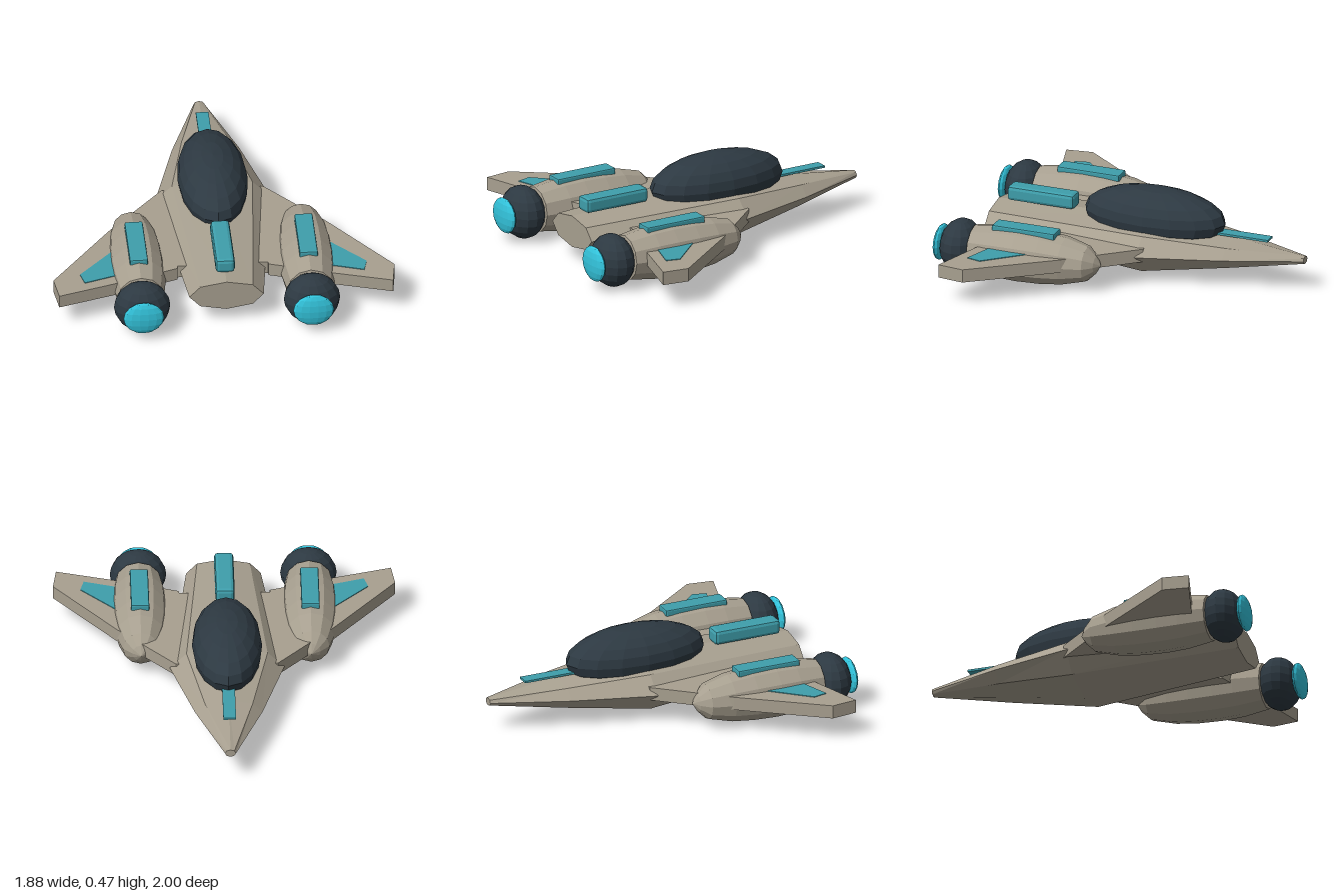
import * as THREE from 'three';
import { RoundedBoxGeometry } from 'three/addons/geometries/RoundedBoxGeometry.js';

const paint = (color) => new THREE.MeshStandardMaterial({ color, flatShading: true });

// Octagonal hull lofted through rings of [z, half width, centre y, height up, height down]
function hullGeometry(stations, sides = 8) {
  const pos = [], index = [];
  for (const [z, w, cy, up, down] of stations) {
    for (let j = 0; j < sides; j++) {
      const a = (j / sides) * Math.PI * 2, s = Math.sin(a);
      pos.push(w * Math.cos(a), cy + s * (s > 0 ? up : down), z);
    }
  }
  const last = stations.length - 1;
  for (let i = 0; i < last; i++) {
    for (let j = 0; j < sides; j++) {
      const k = (j + 1) % sides, a = i * sides, b = a + sides;
      index.push(a + j, a + k, b + j, a + k, b + k, b + j);
    }
  }
  // end caps
  for (let j = 1; j < sides - 1; j++) {
    const r = last * sides;
    index.push(0, j + 1, j, r, r + j, r + j + 1);
  }
  const g = new THREE.BufferGeometry();
  g.setAttribute('position', new THREE.Float32BufferAttribute(pos, 3));
  g.setIndex(index);
  const flat = g.toNonIndexed();
  flat.computeVertexNormals();
  return flat;
}

// Horizontal plate from an [x, z] outline, mirrored by side
function plateGeometry(outline, side, top, thickness) {
  const shape = new THREE.Shape(outline.map(([x, z]) => new THREE.Vector2(side * x, z)));
  const g = new THREE.ExtrudeGeometry(shape, { depth: thickness, bevelEnabled: false });
  return g.rotateX(Math.PI / 2).translate(0, top, 0);
}

export function createModel() {
  const model = new THREE.Group();
  const hullMat = paint(0xa8a090), darkMat = paint(0x2d3942);
  const trimMat = paint(0x3f9fac), glowMat = paint(0x33c4dc);

  const add = (name, geometry, material, x = 0, y = 0, z = 0) => {
    const mesh = new THREE.Mesh(geometry, material);
    mesh.name = name;
    mesh.position.set(x, y, z);
    model.add(mesh);
    return mesh;
  };
  const ellipsoid = (rx, ry, rz, w = 14, h = 10) =>
    new THREE.SphereGeometry(1, w, h).scale(rx, ry, rz);

  // Fuselage, nose towards -z
  add('fuselage', hullGeometry([
    [-1, 0.03, 0.178, 0.022, 0.022],
    [-0.58, 0.185, 0.175, 0.078, 0.085],
    [-0.12, 0.315, 0.172, 0.13, 0.157],
    [0.82, 0.205, 0.18, 0.09, 0.09],
  ]), hullMat);
  add('canopy', ellipsoid(0.193, 0.162, 0.415, 16, 10), darkMat, 0, 0.31, -0.11);
  add('noseStrip', new THREE.BoxGeometry(0.07, 0.012, 0.4), trimMat, 0, 0.268, -0.59);
  add('spineBlock', new RoundedBoxGeometry(0.106, 0.084, 0.395, 1, 0.02), trimMat, 0, 0.323, 0.555);

  const wing = [[0.18, -0.15], [0.28, -0.15], [0.6, 0.21], [0.94, 0.65], [0.92, 0.8],
    [0.58, 0.7], [0.25, 0.59], [0.25, 0.57], [0.18, 0.57]];
  const panel = [[0.55, 0.36], [0.62, 0.43], [0.79, 0.61], [0.77, 0.69], [0.55, 0.62]];
  const nacelle = [[0, 0.02], [0.05, 0.05], [0.1, 0.1], [0.135, 0.23], [0.15, 0.36], [0.155, 0.5],
    [0.15, 0.62], [0.128, 0.77], [0, 0.8]].map(([r, z]) => new THREE.Vector2(r, z));

  // Wings and engines on both sides
  for (const [side, label] of [[1, 'left'], [-1, 'right']]) {
    const x = side * 0.468, y = 0.16;
    add(label + 'Wing', plateGeometry(wing, side, 0.215, 0.075), hullMat);
    add(label + 'WingPanel', plateGeometry(panel, side, 0.219, 0.01), trimMat);
    add(label + 'Nacelle', new THREE.LatheGeometry(nacelle, 12).rotateX(Math.PI / 2), hullMat, x, y, 0);
    add(label + 'NacelleStrip', new RoundedBoxGeometry(0.1, 0.04, 0.37, 1, 0.008), trimMat, x, 0.304, 0.465);
    add(label + 'Nozzle', ellipsoid(0.155, 0.148, 0.115, 14, 10), darkMat, x, y, 0.85);
    add(label + 'ExhaustGlow', ellipsoid(0.112, 0.1, 0.029, 14, 8), glowMat, x, y, 0.967);
  }
  return model;
}
